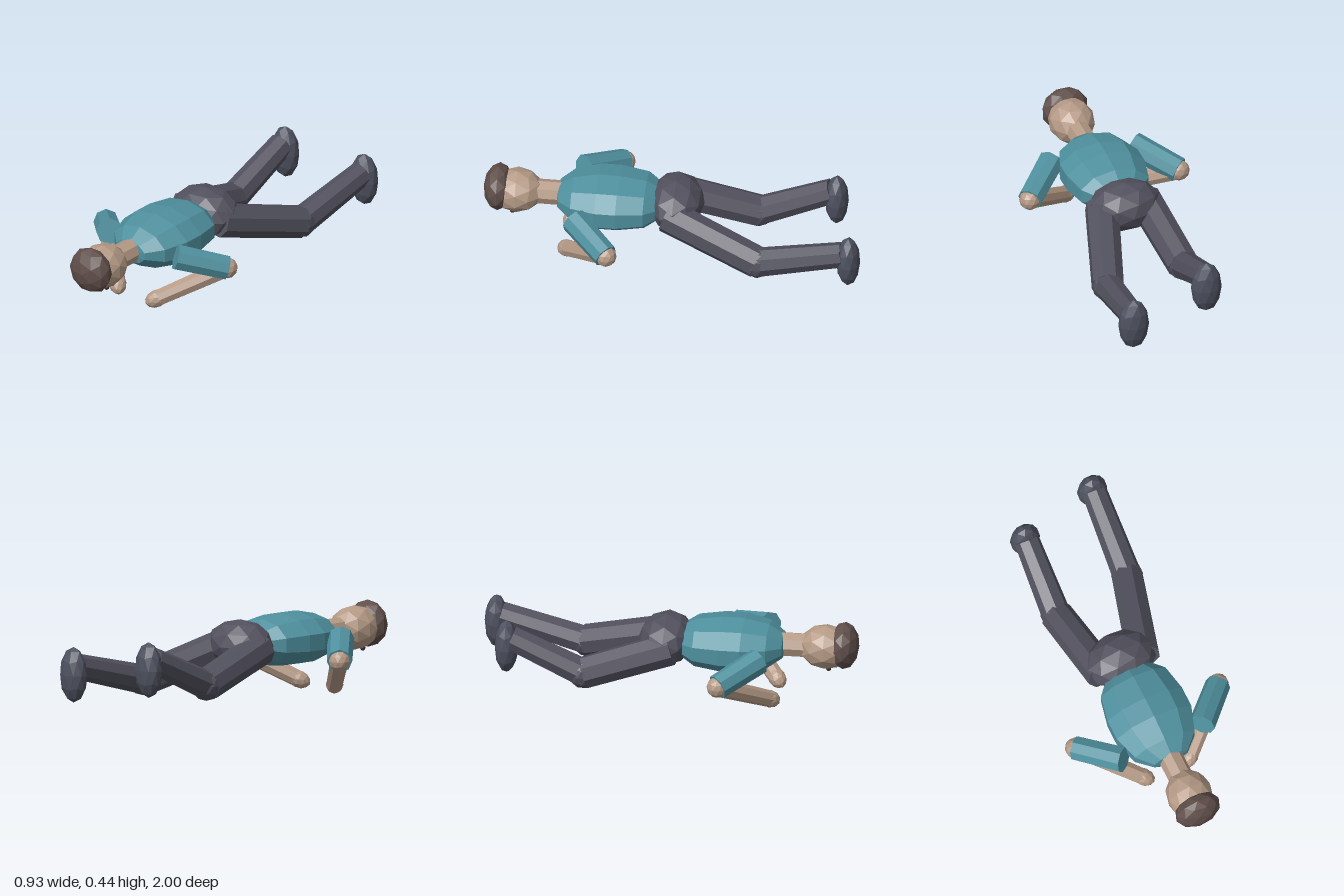
import * as THREE from 'three';

const mat = (name, color) => {
  const m = new THREE.MeshStandardMaterial({ color, flatShading: true });
  m.name = name;
  return m;
};
const V = (x, y, z) => new THREE.Vector3(x, y, z);
const UP = V(0, 1, 0);

export function createModel() {
  const root = new THREE.Group();
  root.name = 'lyingFigure';
  const shirt = mat('teal shirt', 0x4f909e);
  const skin = mat('skin', 0xb59a86);
  const hair = mat('brown hair', 0x5f4e4a);
  const trousers = mat('grey trousers', 0x51505d);
  const shoe = mat('slate shoe', 0x4d515f);
  const dark = mat('dark eye', 0x3a302e);

  const add = (name, geometry, material) => {
    const mesh = new THREE.Mesh(geometry, material);
    mesh.name = name;
    root.add(mesh);
    return mesh;
  };

  // Faceted ellipsoid whose pole (radius ry) points along dir
  const blob = (name, material, c, rx, ry, rz, dir = UP, detail = 1) => {
    const g = new THREE.IcosahedronGeometry(1, detail);
    g.rotateZ(Math.atan(2 / (1 + Math.sqrt(5))));
    g.scale(rx, ry, rz);
    const m = add(name, g, material);
    m.position.copy(c);
    m.quaternion.setFromUnitVectors(UP, dir.clone().normalize());
    return m;
  };

  // Eight-sided limb segment from a to b
  const limb = (name, material, a, b, ra, rb) => {
    const d = b.clone().sub(a);
    const m = add(name, new THREE.CylinderGeometry(rb, ra, d.length(), 8), material);
    m.position.copy(a).add(b).multiplyScalar(0.5);
    m.quaternion.setFromUnitVectors(UP, d.normalize());
    return m;
  };

  // Torso: ten-sided barrel lying along z, flattened front to back
  const profile = [[0, 0.05], [0.13, 0.08], [0.195, 0.15], [0.225, 0.29],
    [0.225, 0.4], [0.18, 0.53], [0.1, 0.605], [0, 0.62]];
  const body = new THREE.LatheGeometry(profile.map(([r, z]) => new THREE.Vector2(r, z)), 10);
  body.rotateX(Math.PI / 2);
  body.scale(1, 0.62, 1);
  add('torso', body, shirt).position.y = 0.296;

  blob('pelvis', trousers, V(0, 0.3, -0.005), 0.195, 0.148, 0.132, V(0, 0, -1));

  // Head, face down
  const forward = V(0, 0, 1);
  limb('neck', skin, V(0, 0.3, 0.56), V(0, 0.3, 0.74), 0.065, 0.065);
  blob('head', skin, V(0, 0.3, 0.825), 0.122, 0.14, 0.117, forward);
  blob('hair', hair, V(0, 0.312, 0.922), 0.127, 0.078, 0.124, forward);
  for (const s of [-1, 1]) blob('eye', dark, V(s * 0.042, 0.195, 0.845), 0.014, 0.014, 0.014);

  // Arms, bent with the hands beneath the head
  for (const s of [-1, 1]) {
    const shoulder = V(s * 0.225, 0.3, 0.505);
    const elbow = V(s * 0.41, 0.222, 0.313);
    const hand = V(s * 0.133, 0.045, 0.55);
    limb('upperArm', shirt, shoulder, elbow, 0.07, 0.066);
    blob('elbow', skin, elbow, 0.056, 0.056, 0.056);
    limb('forearm', skin, elbow, hand, 0.05, 0.044);
    blob('hand', skin, hand, 0.046, 0.065, 0.046, hand.clone().sub(elbow));
  }

  // Legs, each with its own bend
  const legs = [
    { side: 'left', hip: V(0.115, 0.29, 0.03), knee: V(0.257, 0.138, -0.46),
      ankle: V(0.285, 0.25, -0.91), foot: V(0.285, 0.21, -0.938) },
    { side: 'right', hip: V(-0.115, 0.29, 0.03), knee: V(-0.17, 0.15, -0.42),
      ankle: V(-0.158, 0.32, -0.8), foot: V(-0.155, 0.27, -0.825) },
  ];
  for (const { side, hip, knee, ankle, foot } of legs) {
    limb(side + 'Thigh', trousers, hip, knee, 0.09, 0.086);
    blob(side + 'Knee', trousers, knee, 0.083, 0.083, 0.083);
    limb(side + 'Shin', trousers, knee, ankle, 0.077, 0.067);
    blob(side + 'Foot', shoe, foot, 0.082, 0.146, 0.062);
  }
  return root;
}
